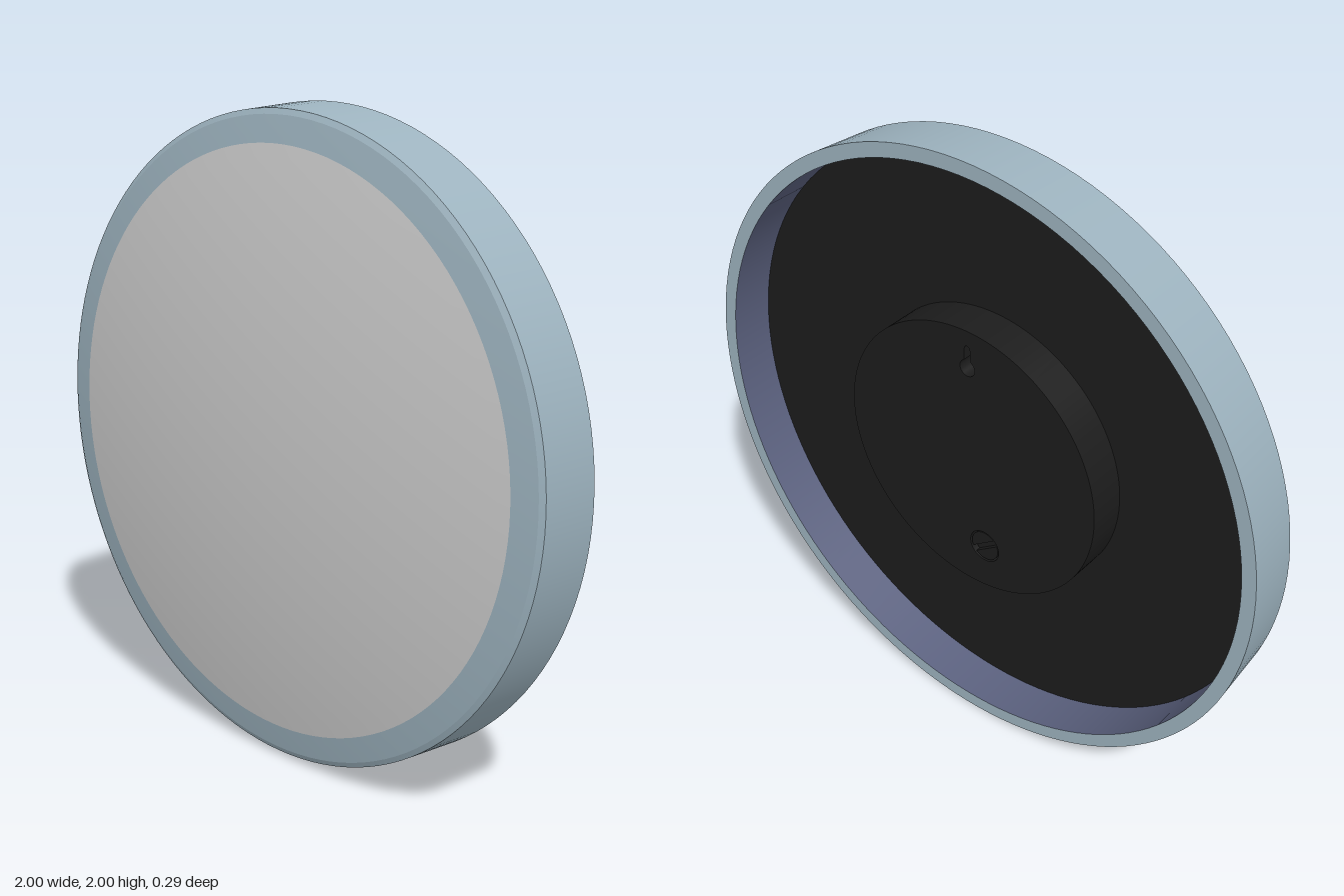
import * as THREE from 'three';

const mat = (name, color) => {
  const m = new THREE.MeshStandardMaterial({ color });
  m.name = name;
  return m;
};

export function createModel() {
  const frameBlue = mat('frame blue', 0x9db3bf);
  const innerBlue = mat('inner wall slate', 0x5c6280);
  const faceGrey = mat('face light grey', 0xcccccc);
  const black = mat('back black', 0x1c1c1c);

  const group = new THREE.Group();
  group.name = 'roundWallDisc';
  const body = new THREE.Group();
  body.name = 'body';
  body.position.y = 1;
  group.add(body);

  const add = (name, geometry, material) => {
    const mesh = new THREE.Mesh(geometry, material);
    mesh.name = name;
    body.add(mesh);
    return mesh;
  };
  // Profile of [radius, z] pairs turned around the z axis
  const turn = (name, profile, material) =>
    add(name, new THREE.LatheGeometry(profile.map(([r, z]) => new THREE.Vector2(r, z)), 128)
      .rotateX(Math.PI / 2), material);

  // Shallow spherical front surface
  const domeZ = r => 0.145 - 0.097 * r * r;
  const arc = (r0, r1, n) => Array.from({ length: n + 1 }, (_, i) => {
    const r = r0 + (r1 - r0) * i / n;
    return [r, domeZ(r)];
  });
  turn('frontDome', arc(0.89, 0, 24), faceGrey);
  turn('frontBorder', arc(0.97, 0.89, 4), frameBlue);

  // Frame, one lathe per face so the edges stay sharp
  turn('frontLip', [[0.987, 0.045], [0.97, domeZ(0.97)]], frameBlue);
  turn('outerWall', [[1, -0.145], [0.987, 0.045]], frameBlue);
  turn('backRim', [[0.955, -0.145], [1, -0.145]], frameBlue);
  turn('innerWall', [[0.955, 0], [0.955, -0.145]], innerBlue);
  turn('backPlate', [[0, 0], [0.955, 0]], black);

  // Mounting puck with a keyhole slot and a recess for the screw
  const screwX = -0.06, screwY = -0.3;
  const puck = new THREE.Shape().absarc(0, 0, 0.46, 0, Math.PI * 2);
  const keyhole = new THREE.Path();
  keyhole.absarc(0, 0.335, 0.027, Math.PI * 0.35, Math.PI * 0.65, true);
  keyhole.lineTo(-0.01, 0.4);
  keyhole.absarc(0, 0.4, 0.01, Math.PI, 0, true);
  keyhole.closePath();
  const recess = new THREE.Path().absarc(screwX, screwY, 0.055, 0, Math.PI * 2, true);
  puck.holes.push(keyhole, recess);
  const puckGeometry = new THREE.ExtrudeGeometry(puck, { depth: 0.122, bevelEnabled: false, curveSegments: 64 });
  add('mountingPuck', puckGeometry.translate(0, 0, -0.122), black);

  // Slotted screw: a floor disc and two half discs with a gap between
  const screw = new THREE.Group();
  screw.name = 'slottedScrew';
  screw.position.set(screwX, screwY, 0);
  screw.rotation.z = -Math.PI / 5;
  body.add(screw);
  const floor = new THREE.Mesh(new THREE.CylinderGeometry(0.05, 0.05, 0.1, 32).rotateX(Math.PI / 2), black);
  floor.name = 'screwCore';
  floor.position.z = -0.055;
  screw.add(floor);
  for (const side of [0, Math.PI]) {
    const half = new THREE.Shape().absarc(0, 0, 0.05, 0.2, Math.PI - 0.2);
    const mesh = new THREE.Mesh(
      new THREE.ExtrudeGeometry(half, { depth: 0.018, bevelEnabled: false, curveSegments: 16 }), black);
    mesh.name = 'screwHeadHalf';
    mesh.position.z = -0.12;
    mesh.rotation.z = side;
    screw.add(mesh);
  }
  return group;
}
